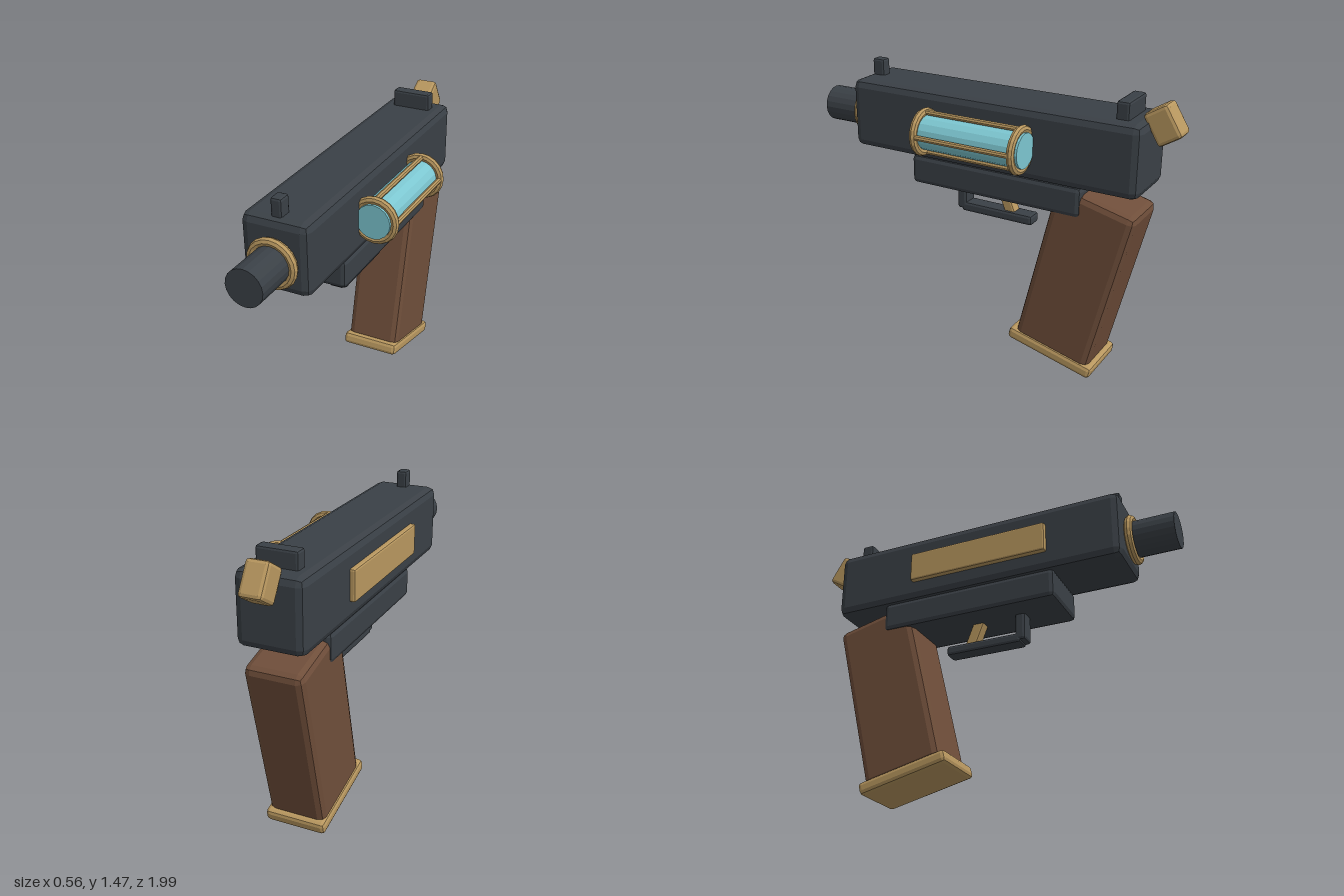
import * as THREE from 'three';
import { RoundedBoxGeometry } from 'three/addons/geometries/RoundedBoxGeometry.js';

const mat = (name, color) => {
  const m = new THREE.MeshStandardMaterial({ color, flatShading: true });
  m.name = name;
  return m;
};

export function createModel() {
  const steel = mat('darkSteel', 0x3a4046);
  const brass = mat('brass', 0xb8975f);
  const wood = mat('wood', 0x6f4e3a);
  const glass = mat('glass', 0x7cc6d0);

  const model = new THREE.Group();
  model.name = 'pistol';
  const CX = -0.087; // centre line of the gun, offset by the side canister

  const add = (name, geometry, material, x, y, z, parent = model) => {
    const mesh = new THREE.Mesh(geometry, material);
    mesh.name = name;
    mesh.position.set(x, y, z);
    parent.add(mesh);
    return mesh;
  };
  // Box with a two-step bevel
  const box = (name, material, [w, h, d], bevel, [x, y, z], tilt = 0, parent = model) => {
    const mesh = add(name, new RoundedBoxGeometry(w, h, d, 1, bevel), material, x, y, z, parent);
    mesh.rotation.x = tilt;
    return mesh;
  };
  // Cylinder lying along z
  const rod = (name, material, r, length, sides, [x, y, z], parent = model) =>
    add(name, new THREE.CylinderGeometry(r, r, length, sides).rotateX(Math.PI / 2), material, x, y, z, parent);
  const ring = (name, r, tube, [x, y, z], parent = model) =>
    add(name, new THREE.TorusGeometry(r, tube, 8, 20), brass, x, y, z, parent);

  // Slide, frame and sights
  box('slide', steel, [0.34, 0.362, 1.6], 0.04, [CX, 1.204, -0.047]);
  box('frame', steel, [0.317, 0.157, 0.96], 0.025, [CX, 0.955, -0.081]);
  box('frontSight', steel, [0.057, 0.12, 0.07], 0.012, [CX, 1.41, 0.685]);
  box('rearSight', steel, [0.206, 0.12, 0.067], 0.012, [CX, 1.41, -0.727]);

  // Barrel and muzzle ring
  rod('barrel', steel, 0.093, 0.3, 20, [CX, 1.181, 0.85]);
  ring('muzzleRing', 0.107, 0.021, [CX, 1.181, 0.774]);

  // Hammer and side plate
  box('hammer', brass, [0.116, 0.168, 0.133], 0.018, [CX, 1.369, -0.901], 0.55);
  box('sidePlate', brass, [0.04, 0.16, 0.76], 0.01, [-0.264, 1.203, -0.012]);

  // Trigger and its guard
  box('guardPost', steel, [0.085, 0.18, 0.058], 0.015, [CX, 0.825, 0.167]);
  box('guardBar', steel, [0.085, 0.054, 0.414], 0.015, [CX, 0.75, -0.037]);
  box('trigger', brass, [0.06, 0.17, 0.058], 0.01, [CX, 0.838, -0.086], 0.37);

  // Raked grip with base plate
  const grip = new THREE.Group();
  grip.name = 'grip';
  grip.position.set(CX, 0.09, -0.417);
  grip.rotation.x = -0.24;
  model.add(grip);
  box('gripBody', wood, [0.297, 0.91, 0.425], 0.035, [0, 0.455, 0], 0, grip);
  box('gripBase', brass, [0.317, 0.066, 0.486], 0.02, [0, 0, 0], 0, grip);

  // Glass canister in a cage of rods and rings
  const canister = new THREE.Group();
  canister.name = 'canister';
  canister.position.set(0.157, 1.204, -0.015);
  model.add(canister);
  rod('glassTube', glass, 0.088, 0.592, 16, [0, 0, 0], canister);
  for (const z of [-0.27, 0.27]) ring('cageRing', 0.102, 0.02, [0, 0, z], canister);
  for (let i = 0; i < 4; i++) {
    const a = (i * Math.PI) / 2;
    rod('cageRod', brass, 0.014, 0.54, 8, [0.102 * Math.cos(a), 0.102 * Math.sin(a), 0], canister);
  }
  return model;
}
